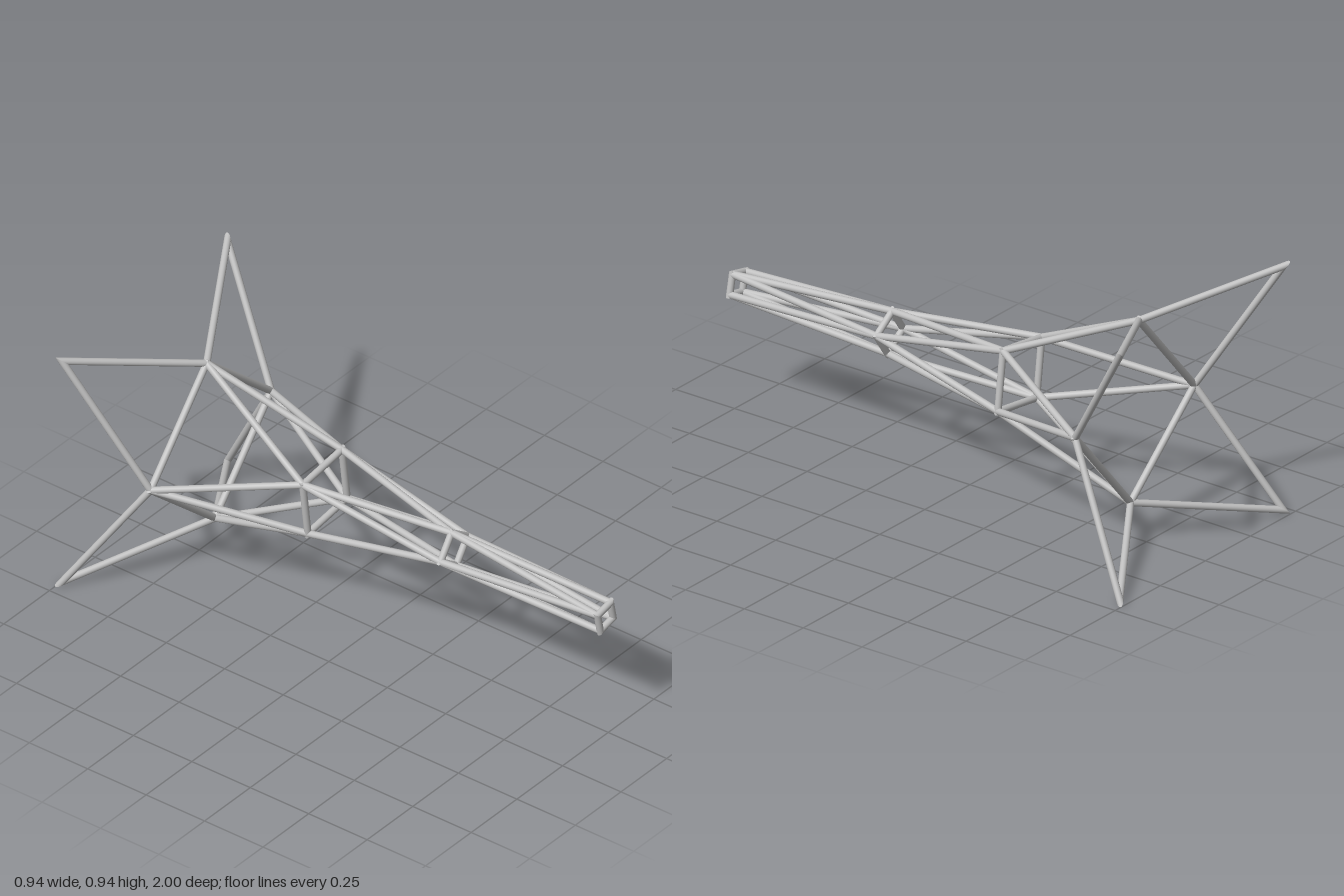
import * as THREE from 'three';

const steel = new THREE.MeshStandardMaterial({ color: 0xc0c0c0 });
steel.name = 'steelGrey';

const R = 0.0125, SIDES = 16, CENTRE_Y = 0.47;

// Square levels along the mast, from the feet to the tip: radius, angle, z
const LEVELS = [
  { r: 0.64, deg: 45, z: -0.983 },
  { r: 0.331, deg: 94, z: -0.7 },
  { r: 0.153, deg: 52.5, z: -0.212 },
  { r: 0.075, deg: 100, z: 0.34 },
  { r: 0.051, deg: 57, z: 0.9875 },
];

function corners({ r, deg, z }) {
  return [0, 1, 2, 3].map((i) => {
    const a = THREE.MathUtils.degToRad(deg + 90 * i);
    return new THREE.Vector3(r * Math.cos(a), CENTRE_Y + r * Math.sin(a), z);
  });
}

// Round bar from a to b, each end cut by a plane with the given normal
function bar(a, b, cutA, cutB) {
  const d = b.clone().sub(a);
  const length = d.length();
  d.normalize();
  const g = new THREE.CylinderGeometry(R, R, length, SIDES);
  g.applyQuaternion(new THREE.Quaternion().setFromUnitVectors(new THREE.Vector3(0, 1, 0), d));
  const mid = a.clone().lerp(b, 0.5);
  g.translate(mid.x, mid.y, mid.z);
  const pos = g.attributes.position;
  const v = new THREE.Vector3();
  for (let i = 0; i < pos.count; i++) {
    v.fromBufferAttribute(pos, i);
    const nearB = v.clone().sub(mid).dot(d) > 0;
    const p = nearB ? b : a;
    const n = nearB ? cutB : cutA;
    v.addScaledVector(d, -v.clone().sub(p).dot(n) / d.dot(n));
    pos.setXYZ(i, v.x, v.y, v.z);
  }
  return new THREE.Mesh(g, steel);
}

// Closed loop of bars, with mitred or square-cut joints
function loop(name, points, mitred) {
  const group = new THREE.Group();
  group.name = name;
  const n = points.length;
  const dirs = points.map((p, i) => points[(i + 1) % n].clone().sub(p).normalize());
  points.forEach((p, i) => {
    const d = dirs[i];
    const cutA = mitred ? dirs[(i + n - 1) % n].clone().add(d) : d;
    const cutB = mitred ? d.clone().add(dirs[(i + 1) % n]) : d;
    const mesh = bar(p, points[(i + 1) % n], cutA, cutB);
    mesh.name = name + 'Bar' + (i + 1);
    group.add(mesh);
  });
  return group;
}

export function createModel() {
  const model = new THREE.Group();
  model.name = 'latticeMast';
  const levels = LEVELS.map(corners);

  // Square frames at every level except the free feet
  levels.slice(1).forEach((pts, i) => model.add(loop('squareFrame' + (i + 1), pts, true)));

  // Zigzag bracing between neighbouring levels; the feet have sharp mitred points
  for (let k = 0; k < levels.length - 1; k++) {
    const even = levels[k % 2 ? k + 1 : k];
    const odd = levels[k % 2 ? k : k + 1];
    const zigzag = even.flatMap((p, i) => [p, odd[i]]);
    model.add(loop(k ? 'bracing' + k : 'legs', zigzag, k === 0));
  }
  return model;
}
